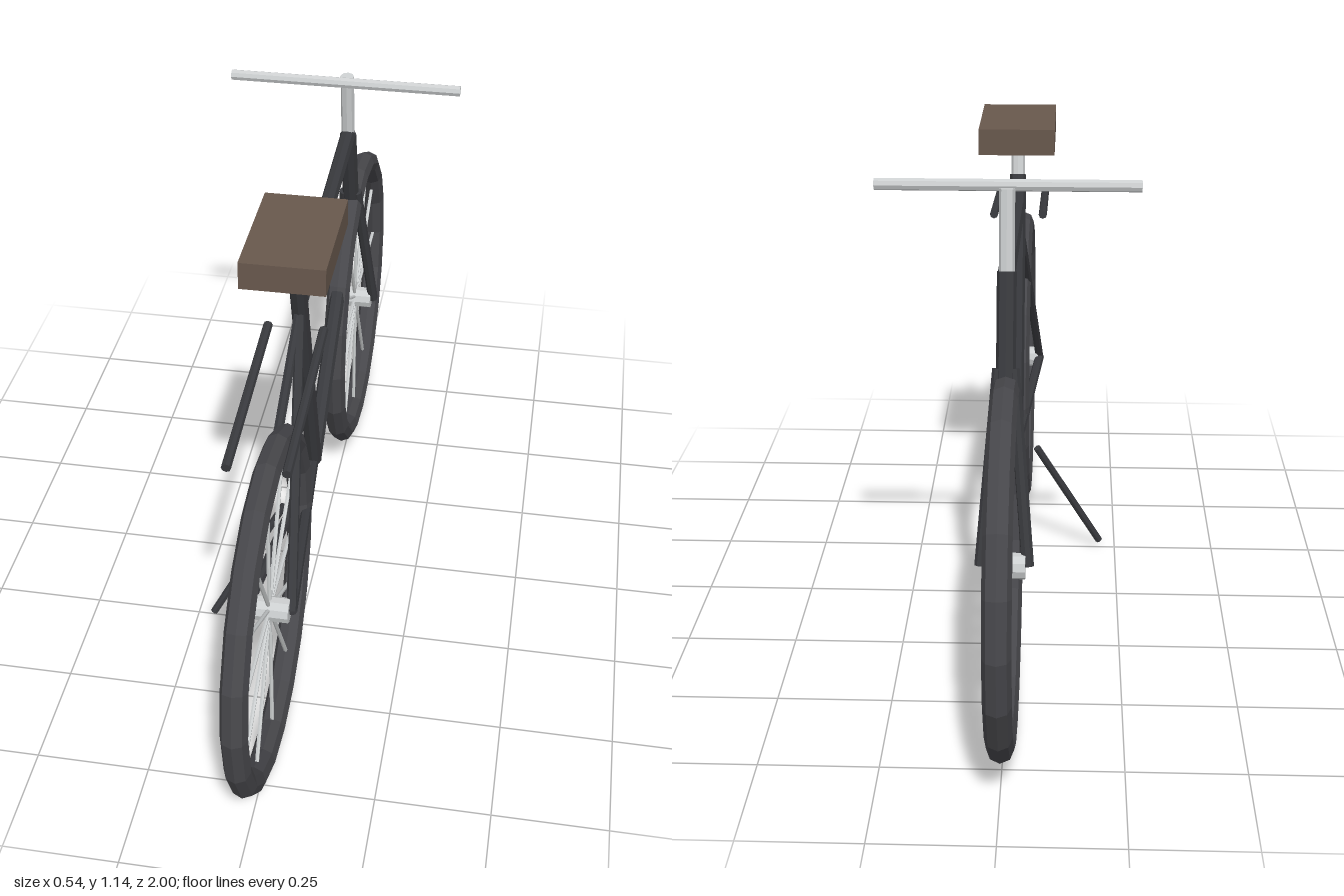
import * as THREE from 'three';

const mat = (name, color) => {
  const m = new THREE.MeshStandardMaterial({ color, flatShading: true });
  m.name = name;
  return m;
};

export function createModel() {
  const bike = new THREE.Group();
  bike.name = 'bicycle';
  const frame = mat('frame charcoal', 0x393a3e);
  const rubber = mat('tire grey', 0x47474b);
  const metal = mat('brushed metal', 0xcccfd0);
  const leather = mat('saddle brown', 0x68584d);

  const add = (parent, name, geometry, material) => {
    const mesh = new THREE.Mesh(geometry, material);
    mesh.name = name;
    parent.add(mesh);
    return mesh;
  };

  // Straight round bar between two points
  const bar = (name, a, b, radius, material, sides = 8, parent = bike) => {
    const p = new THREE.Vector3(...a), q = new THREE.Vector3(...b);
    const dir = q.clone().sub(p);
    const mesh = add(parent, name, new THREE.CylinderGeometry(radius, radius, dir.length(), sides), material);
    mesh.position.copy(p).add(q).multiplyScalar(0.5);
    mesh.quaternion.setFromUnitVectors(new THREE.Vector3(0, 1, 0), dir.normalize());
    return mesh;
  };

  const axleY = 0.395, rearZ = 0.609, frontZ = -0.609;

  // Wheels: tire, hub and twelve spokes
  for (const [name, z] of [['rearWheel', rearZ], ['frontWheel', frontZ]]) {
    const wheel = new THREE.Group();
    wheel.name = name;
    wheel.position.set(0, axleY, z);
    add(wheel, 'tire', new THREE.TorusGeometry(0.363, 0.028, 8, 20), rubber).rotation.y = Math.PI / 2;
    bar('hub', [-0.043, 0, 0], [0.043, 0, 0], 0.027, metal, 10, wheel);
    for (let i = 0; i < 12; i++) {
      const a = i * Math.PI / 6;
      bar('spoke', [0, 0, 0], [0, 0.352 * Math.sin(a), 0.352 * Math.cos(a)], 0.0045, metal, 6, wheel);
    }
    bike.add(wheel);
  }

  // Main frame
  const bracket = [0, 0.36, 0.056], seatJoint = [0, 0.918, 0.231];
  const headTop = [0, 0.967, -0.442], headLow = [0, 0.76, -0.503];
  bar('seatTube', bracket, [0, 0.99, 0.254], 0.019, frame);
  bar('topTube', seatJoint, headTop, 0.018, frame);
  bar('downTube', bracket, [0, 0.74, -0.503], 0.018, frame);
  bar('headTube', headTop, headLow, 0.02, frame);

  // Paired fork blades, stays and rack rods
  for (const s of [-1, 1]) {
    bar('forkBlade', [s * 0.015, 0.78, -0.497], [s * 0.048, axleY, frontZ], 0.013, frame);
    bar('seatStay', [0, 0.9, 0.226], [s * 0.047, axleY, rearZ], 0.011, frame);
    bar('chainStay', [0, 0.36, 0.056], [s * 0.047, axleY, rearZ], 0.012, frame);
    bar('rackRod', [s * 0.059, 0.885, 0.275], [s * 0.059, 0.84, 0.703], 0.01, frame);
  }

  // Steering
  bar('stem', headTop, [0, 1.13, -0.418], 0.016, metal);
  bar('handlebar', [-0.268, 1.129, -0.385], [0.268, 1.129, -0.385], 0.0125, metal);

  // Seat
  bar('seatPost', [0, 0.97, 0.248], [0, 1.08, 0.278], 0.016, metal);
  add(bike, 'saddle', new THREE.BoxGeometry(0.175, 0.06, 0.28), leather).position.set(0, 1.093, 0.281);

  // Kickstand
  bar('kickstand', [-0.05, 0.312, 0.18], [-0.21, 0.02, 0.258], 0.009, frame);

  return bike;
}
